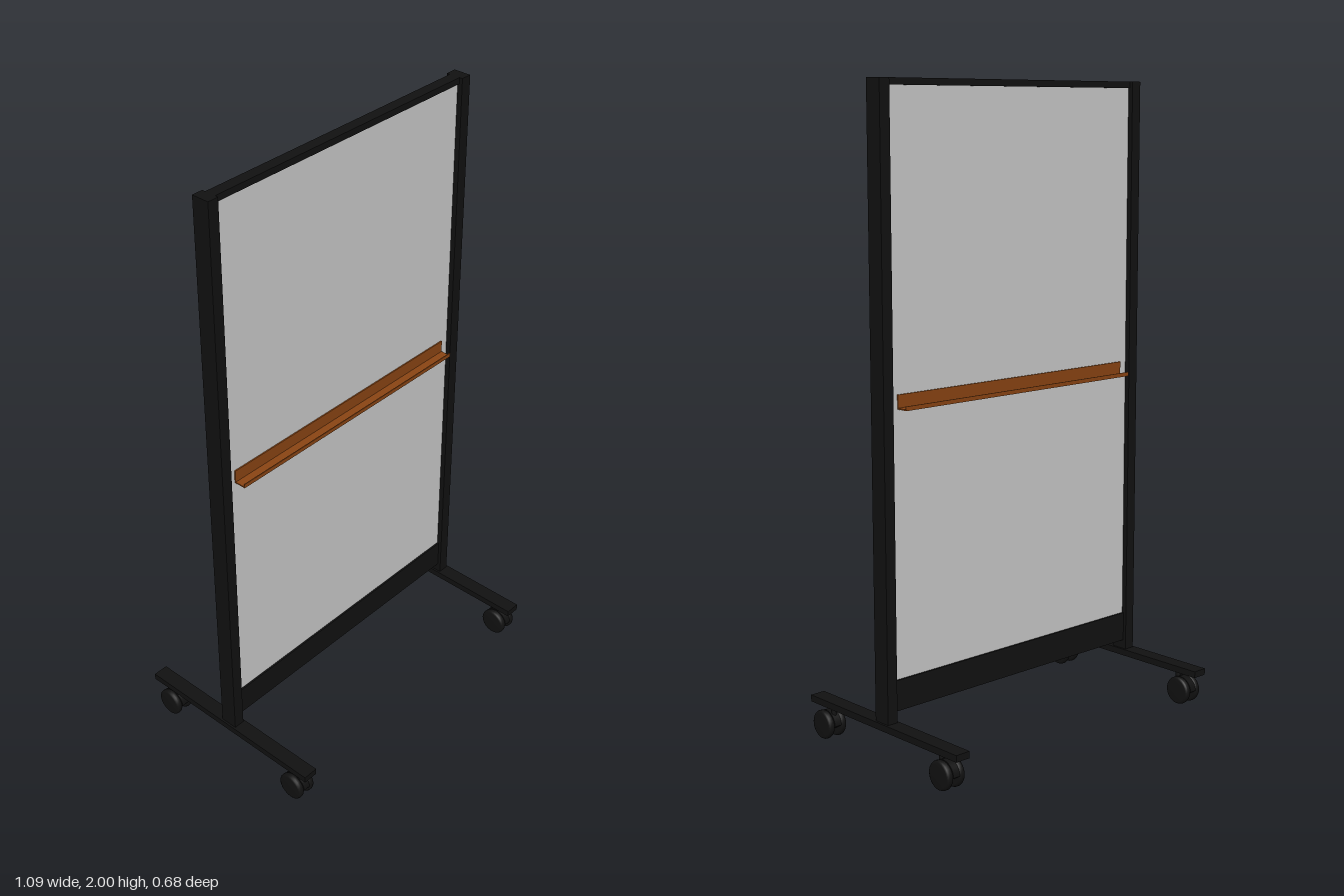
import * as THREE from 'three';

export function createModel() {
  const model = new THREE.Group();
  const black = new THREE.MeshStandardMaterial({ color: 0x111111 });
  const grey = new THREE.MeshStandardMaterial({ color: 0xcccccc });
  const brown = new THREE.MeshStandardMaterial({ color: 0x8b4513 });

  const add = (parent, name, geometry, material, x, y, z) => {
    const mesh = new THREE.Mesh(geometry, material);
    mesh.name = name;
    mesh.position.set(x, y, z);
    parent.add(mesh);
    return mesh;
  };
  // Box given by its lower and upper limits on each axis
  const box = (parent, name, material, [x0, x1], [y0, y1], [z0, z1]) =>
    add(parent, name, new THREE.BoxGeometry(x1 - x0, y1 - y0, z1 - z0), material,
      (x0 + x1) / 2, (y0 + y1) / 2, (z0 + z1) / 2);

  // Board and its cross rails
  box(model, 'panel', grey, [-0.498, 0.498], [0.25, 1.98], [-0.012, 0.012]);
  box(model, 'topRail', black, [-0.498, 0.498], [1.98, 2], [-0.018, 0.018]);
  box(model, 'bottomRail', black, [-0.498, 0.498], [0.155, 0.25], [-0.018, 0.018]);

  // Pen trays on both faces: back plate, shelf and lip in one bent profile
  for (const side of [1, -1]) {
    const profile = new THREE.Shape([
      [0.012, 1.062], [0.052, 1.062], [0.052, 1.075], [0.049, 1.075],
      [0.049, 1.066], [0.016, 1.066], [0.016, 1.105], [0.012, 1.105],
    ].map(([z, y]) => new THREE.Vector2(z, y)));
    const geometry = new THREE.ExtrudeGeometry(profile, { depth: 0.936, bevelEnabled: false });
    geometry.translate(0, 0, -0.468);
    const tray = add(model, side > 0 ? 'frontTray' : 'backTray', geometry, brown, 0, 0, 0);
    tray.rotation.y = -side * Math.PI / 2;
  }

  // Twin wheel with softened rims, lying along x
  const wheelGeometry = new THREE.LatheGeometry([
    [0, -0.011], [0.037, -0.011], [0.043, -0.008], [0.045, -0.004],
    [0.045, 0.004], [0.043, 0.008], [0.037, 0.011], [0, 0.011],
  ].map(([r, y]) => new THREE.Vector2(r, y)), 28);
  wheelGeometry.rotateZ(Math.PI / 2);

  const addCaster = (parent, x, z) => {
    const caster = new THREE.Group();
    caster.name = 'caster';
    caster.position.set(x, 0, z);
    parent.add(caster);
    for (const side of [1, -1]) add(caster, 'wheel', wheelGeometry, black, side * 0.022, 0.045, 0);

    // Half-round hood between the wheels
    const hood = new THREE.CylinderGeometry(0.043, 0.043, 0.024, 24, 1, false, 0, Math.PI);
    hood.rotateZ(Math.PI / 2);
    hood.rotateX(-Math.PI / 2);
    const arch = new THREE.Shape();
    arch.absarc(0, 0, 0.043, 0, Math.PI);
    arch.lineTo(-0.02, -0.014);
    arch.lineTo(0.02, -0.014);
    const hoodGeometry = new THREE.ExtrudeGeometry(arch, { depth: 0.024, bevelEnabled: false, curveSegments: 16 });
    hoodGeometry.translate(0, 0, -0.012);
    hoodGeometry.rotateY(Math.PI / 2);
    add(caster, 'hood', hoodGeometry, black, 0, 0.045, 0);

    // Swivel stem, set inward of the axle
    const stemZ = -Math.sign(z) * 0.022;
    add(caster, 'stem', new THREE.CylinderGeometry(0.008, 0.008, 0.045, 16), black, 0, 0.086, stemZ);
  };

  // Each end: upright post, foot bar and two casters
  for (const side of [1, -1]) {
    const end = new THREE.Group();
    end.name = side > 0 ? 'leftEnd' : 'rightEnd';
    model.add(end);
    const x = side * 0.514;
    box(end, 'post', black, [x - 0.018, x + 0.018], [0.115, 2], [-0.029, 0.029]);
    box(end, 'foot', black, [x - 0.025, x + 0.025], [0.104, 0.125], [-0.34, 0.34]);
    addCaster(end, x, 0.28);
    addCaster(end, x, -0.27);
  }
  return model;
}
